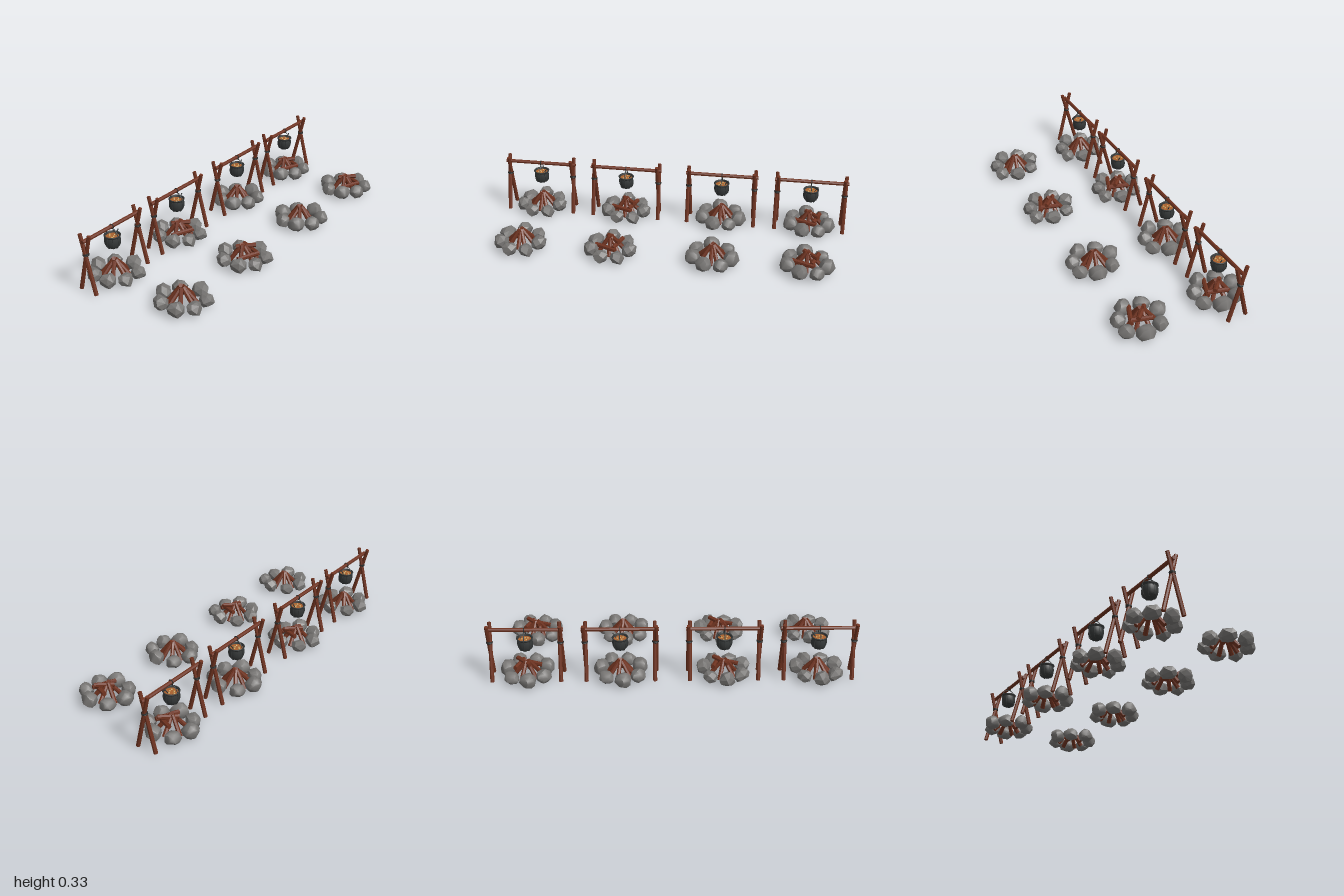
import * as THREE from 'three';
import { ConvexGeometry } from 'three/addons/geometries/ConvexGeometry.js';
import { toCreasedNormals } from 'three/addons/utils/BufferGeometryUtils.js';

const V = (x, y, z) => new THREE.Vector3(x, y, z);
const mat = (color, opts = {}) => new THREE.MeshStandardMaterial({ color, ...opts });
const stoneMat = mat(0x777573);
const woodMat = mat(0x6f3320, { flatShading: true });
const ropeMat = mat(0x2b2b29);
const ironMat = mat(0x353838, { side: THREE.DoubleSide });
const stewMat = mat(0xa8602e);
const chunkMat = mat(0xc9a15c, { flatShading: true });

// Seeded random numbers
function makeRandom(seed) {
  let s = seed;
  return () => (s = (s * 16807) % 2147483647) / 2147483647;
}

function add(parent, name, geometry, material, x = 0, y = 0, z = 0) {
  const mesh = new THREE.Mesh(geometry, material);
  mesh.name = name;
  mesh.position.set(x, y, z);
  parent.add(mesh);
  return mesh;
}

// Straight stick between two points
function stick(parent, name, a, b, r0, r1 = r0, material = woodMat, sides = 7) {
  const dir = b.clone().sub(a);
  const mesh = add(parent, name, new THREE.CylinderGeometry(r1, r0, dir.length(), sides), material);
  mesh.position.copy(a).add(b).multiplyScalar(0.5);
  mesh.quaternion.setFromUnitVectors(V(0, 1, 0), dir.normalize());
  return mesh;
}

// Boulder: hull of points spread over a lumpy ellipsoid
function stoneGeometry(random, count, w, h, d) {
  const points = [];
  for (let i = 0; i < count; i++) {
    const y = 1 - (2 * (i + 0.5)) / count;
    const a = i * 2.39996 + random() * 0.6;
    const r = Math.sqrt(1 - y * y);
    const k = 0.86 + random() * 0.2;
    points.push(V(Math.cos(a) * r * k * w, Math.max(y, -0.8) * k * h, Math.sin(a) * r * k * d));
  }
  return new ConvexGeometry(points);
}

// Ring layout: x, z, tangential half width, half height, radial half width
const ring = [
  [-0.106, 0.015, 0.046, 0.044, 0.047],
  [-0.07, -0.075, 0.046, 0.039, 0.042],
  [0.03, -0.108, 0.052, 0.046, 0.043],
  [0.11, -0.055, 0.044, 0.041, 0.042],
  [0.108, 0.037, 0.045, 0.042, 0.043],
  [0.046, 0.104, 0.05, 0.045, 0.044],
  [-0.055, 0.094, 0.05, 0.042, 0.042],
];

function stoneRing(rounded) {
  const group = new THREE.Group();
  group.name = 'stoneRing';
  const random = makeRandom(rounded ? 4127 : 911);
  for (const [x, z, w, h, d] of ring) {
    let geometry = stoneGeometry(random, rounded ? 42 : 20, w, h, d);
    if (rounded) geometry = toCreasedNormals(geometry, 0.75);
    geometry.computeBoundingBox();
    const stone = add(group, 'stone', geometry, stoneMat, x, 0.004 - geometry.boundingBox.min.y, z);
    stone.rotation.y = Math.atan2(x, z);
  }
  return group;
}

// Firewood leaning to a peak, optionally with loose logs on top
function firewood(stacked) {
  const group = new THREE.Group();
  group.name = 'firewood';
  const random = makeRandom(stacked ? 77 : 505);
  const count = stacked ? 6 : 8;
  for (let i = 0; i < count; i++) {
    const a = (i / count) * Math.PI * 2 + random() * 0.35;
    const r = 0.07 + random() * 0.015;
    const top = 0.092 + random() * 0.012;
    const c = Math.cos(a), s = Math.sin(a);
    stick(group, 'leaningLog', V(c * r, 0.014, s * r), V(c * 0.008, top, s * 0.008), 0.0125, 0.011);
  }
  if (stacked) {
    stick(group, 'looseLog', V(-0.035, 0.075, -0.06), V(0.07, 0.07, -0.025), 0.0125);
    stick(group, 'looseLog', V(0.075, 0.06, -0.04), V(0.025, 0.06, 0.08), 0.0125);
    stick(group, 'looseLog', V(-0.03, 0.092, 0.02), V(0.045, 0.094, -0.055), 0.0125);
  }
  return group;
}

// Two crossed-post trestles with a crossbar
function rack() {
  const group = new THREE.Group();
  group.name = 'rack';
  for (const side of [-1, 1]) {
    const z = side * 0.19;
    for (const lean of [-1, 1]) {
      const zo = z + lean * side * 0.004;
      stick(group, 'post', V(lean * 0.055, 0.003, zo), V(-lean * 0.028, 0.327, zo), 0.0115, 0.0105);
    }
    // Rope lashing at the crossing
    for (const tilt of [-0.3, 0.3]) {
      const lashing = add(group, 'lashing', new THREE.TorusGeometry(0.0125, 0.0035, 6, 14), ropeMat, 0, 0.219, z);
      lashing.rotation.set(Math.PI / 2, tilt, 0);
      lashing.scale.set(1.05, 1.15, 1.3);
    }
  }
  stick(group, 'crossbar', V(0, 0.294, -0.208), V(0, 0.294, 0.208), 0.0105, 0.0105);
  return group;
}

// Hanging cauldron with ribs, stew, bail handle and ladle
function cauldron() {
  const group = new THREE.Group();
  group.name = 'cauldron';
  const outer = [[0.0, 0.174], [0.024, 0.175], [0.034, 0.183], [0.04, 0.2], [0.041, 0.22], [0.038, 0.235], [0.043, 0.245]];
  const inner = [[0.039, 0.247], [0.034, 0.235], [0.034, 0.222]];
  const profile = [...outer, ...inner].map(([x, y]) => new THREE.Vector2(x, y));
  add(group, 'potBody', toCreasedNormals(new THREE.LatheGeometry(profile, 16), 0.6), ironMat);
  const ribCurve = new THREE.CatmullRomCurve3(outer.slice(1).map(([x, y]) => V(x, y, 0)));
  const ribGeometry = new THREE.TubeGeometry(ribCurve, 8, 0.0025, 5);
  for (let i = 0; i < 8; i++) add(group, 'potRib', ribGeometry, ironMat).rotation.y = (i * Math.PI) / 4;
  add(group, 'potRim', new THREE.TorusGeometry(0.042, 0.003, 6, 20), ironMat, 0, 0.245, 0).rotation.x = Math.PI / 2;

  add(group, 'stew', new THREE.CylinderGeometry(0.036, 0.034, 0.004, 16), stewMat, 0, 0.236, 0);
  for (let i = 0; i < 5; i++) {
    const a = i * 2.4, r = 0.01 + i * 0.003;
    add(group, 'stewChunk', new THREE.IcosahedronGeometry(0.006, 0), chunkMat, Math.cos(a) * r, 0.238, Math.sin(a) * r);
  }

  const bail = new THREE.CatmullRomCurve3([V(-0.043, 0.238, 0), V(-0.034, 0.262, 0), V(-0.015, 0.28, 0),
    V(0, 0.282, 0), V(0.015, 0.28, 0), V(0.034, 0.262, 0), V(0.043, 0.238, 0)]);
  add(group, 'bailHandle', new THREE.TubeGeometry(bail, 20, 0.0025, 6), ironMat);
  add(group, 'hangingLoop', new THREE.TorusGeometry(0.0125, 0.0025, 6, 16), ropeMat, 0, 0.293, 0);
  stick(group, 'ladleHandle', V(0.004, 0.228, -0.012), V(0.008, 0.266, -0.038), 0.003, 0.003, ironMat, 6);
  return group;
}

export function createModel() {
  const model = new THREE.Group();
  model.name = 'campfireSet';
  [-0.79, -0.28, 0.28, 0.79].forEach((z, row) => {
    for (const x of [-0.222, 0.224]) {
      const fire = new THREE.Group();
      fire.name = 'campfire';
      fire.position.set(x, 0, z);
      fire.add(stoneRing(row < 2), firewood(row % 2 === 0));
      model.add(fire);
    }
    const cooking = new THREE.Group();
    cooking.name = 'cookingRack';
    cooking.position.set(-0.225, 0, z);
    cooking.add(rack(), cauldron());
    model.add(cooking);
  });
  return model;
}
